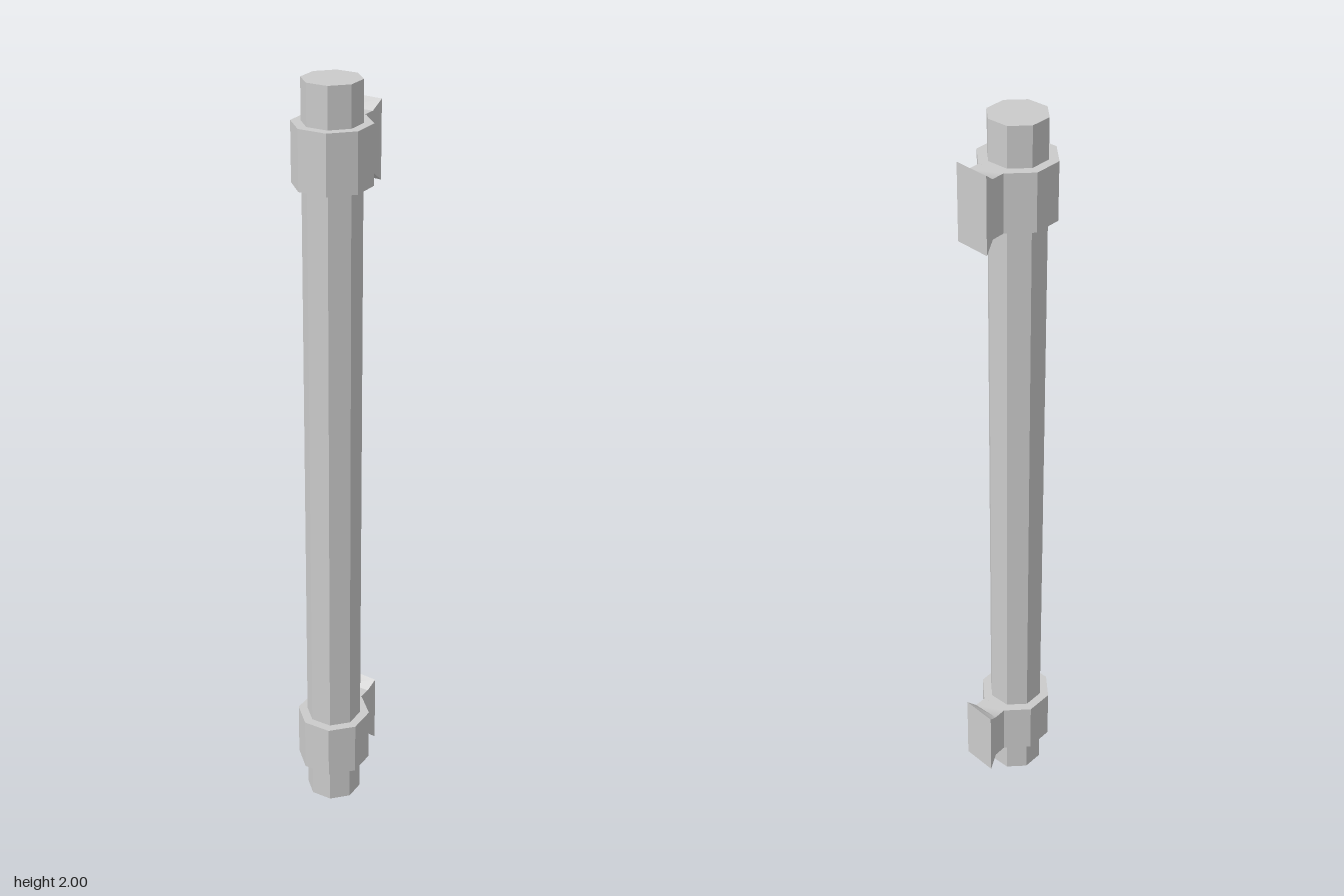
import * as THREE from 'three';
import { toCreasedNormals } from 'three/addons/utils/BufferGeometryUtils.js';

const AXIS = { x: -0.03, z: 0.003 };

// Flared neck: four-cornered sections joined in a loop, closed by the end plate
function neckGeometry() {
  // front x, z, back x, z, half height
  const sections = [
    [0.067, 0.001, 0.0385, -0.0655, 0.074],
    [0.1, -0.012, 0.072, -0.08, 0.074],
    [0.127, -0.013, 0.098, -0.103, 0.098],
  ];
  const positions = [];
  for (const [fx, fz, bx, bz, h] of sections) {
    positions.push(fx, -h, fz, bx, -h, bz, bx, h, bz, fx, h, fz);
  }
  const index = [];
  for (let s = 0; s < sections.length - 1; s++) {
    for (let j = 0; j < 4; j++) {
      const a = s * 4 + j, b = s * 4 + (j + 1) % 4;
      index.push(a, b, b + 4, a, b + 4, a + 4);
    }
  }
  const e = (sections.length - 1) * 4;
  index.push(e, e + 1, e + 2, e, e + 2, e + 3);
  const geometry = new THREE.BufferGeometry();
  geometry.setAttribute('position', new THREE.Float32BufferAttribute(positions, 3));
  geometry.setIndex(index);
  return toCreasedNormals(geometry, 0.75);
}

export function createModel() {
  const model = new THREE.Group();
  model.name = 'pipeWithBrackets';
  const flat = new THREE.MeshStandardMaterial({ color: 0xcccccc, flatShading: true });
  const smooth = new THREE.MeshStandardMaterial({ color: 0xcccccc });

  const octagon = (name, radius, height, y) => {
    const mesh = new THREE.Mesh(new THREE.CylinderGeometry(radius, radius, height, 8), flat);
    mesh.name = name;
    mesh.position.set(AXIS.x, y, AXIS.z);
    return mesh;
  };

  // Long eight-sided pipe
  model.add(octagon('pipe', 0.073, 2, 1));

  // Two wall brackets, each a collar with a flared neck
  const neckShape = neckGeometry();
  for (const [name, y] of [['lowerBracket', 0.177], ['upperBracket', 1.825]]) {
    const bracket = new THREE.Group();
    bracket.name = name;
    bracket.position.y = y;
    const neck = new THREE.Mesh(neckShape, smooth);
    neck.name = 'neck';
    bracket.add(octagon('collar', 0.0975, 0.148, 0), neck);
    model.add(bracket);
  }
  return model;
}
